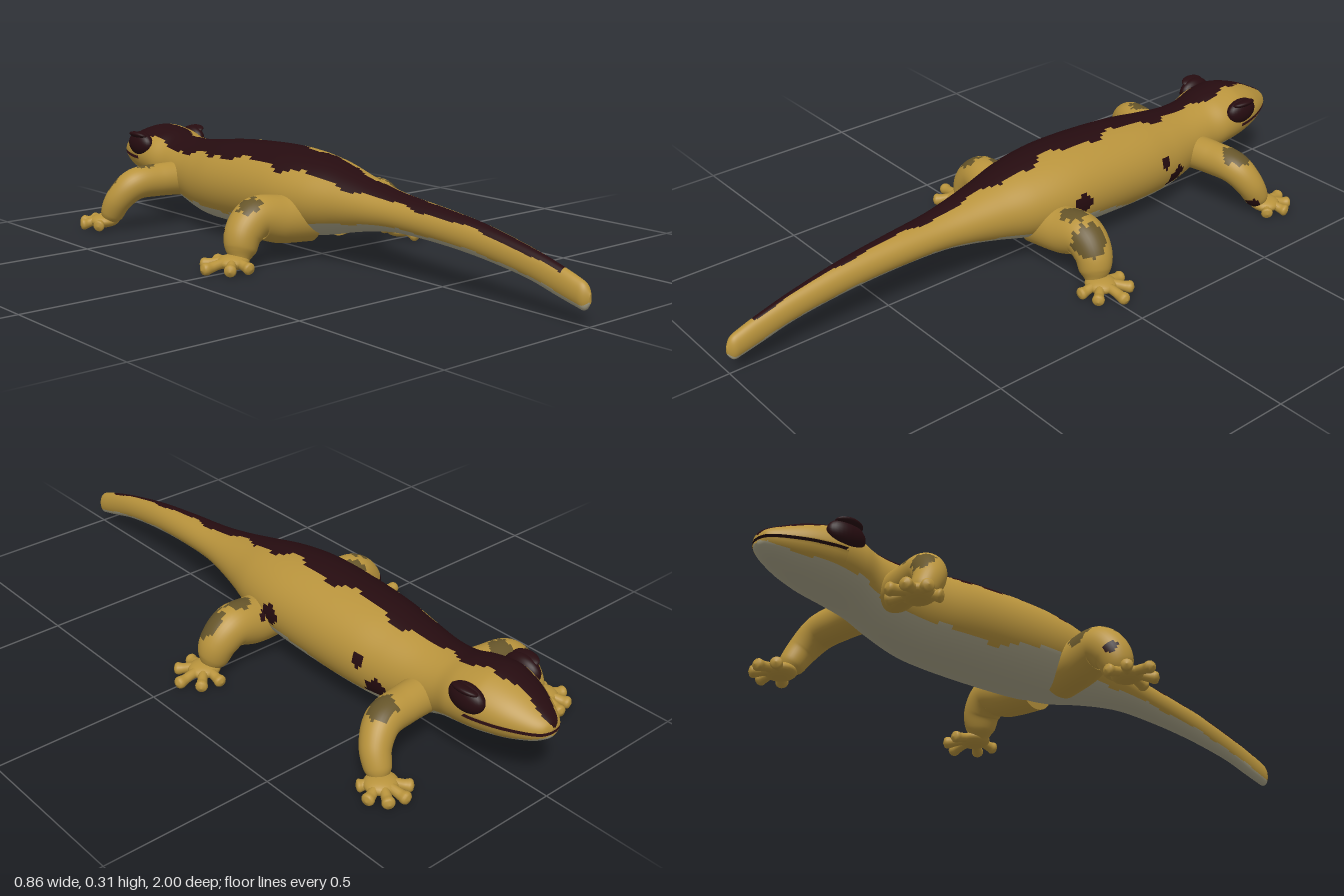
import * as THREE from 'three';

const mat = (name, color) => {
  const m = new THREE.MeshStandardMaterial({ color });
  m.name = name;
  return m;
};

// Body sections from snout to tail tip: z, half width, top y, bottom y
const SECTIONS = [
  [-1, 0.01, 0.212, 0.188], [-0.99, 0.035, 0.228, 0.176], [-0.96, 0.06, 0.246, 0.158],
  [-0.9, 0.092, 0.275, 0.138], [-0.84, 0.112, 0.294, 0.125], [-0.8, 0.118, 0.298, 0.118],
  [-0.74, 0.116, 0.29, 0.108], [-0.68, 0.104, 0.277, 0.09], [-0.6, 0.113, 0.273, 0.062],
  [-0.5, 0.132, 0.283, 0.04], [-0.4, 0.147, 0.296, 0.037], [-0.28, 0.154, 0.305, 0.04],
  [-0.15, 0.156, 0.309, 0.046], [-0.05, 0.152, 0.304, 0.054], [0.05, 0.135, 0.29, 0.068],
  [0.15, 0.105, 0.268, 0.092], [0.25, 0.08, 0.247, 0.112], [0.35, 0.062, 0.231, 0.123],
  [0.5, 0.048, 0.217, 0.12], [0.65, 0.037, 0.198, 0.108], [0.8, 0.028, 0.167, 0.086],
  [0.9, 0.024, 0.14, 0.06], [0.96, 0.022, 0.12, 0.045], [0.985, 0.018, 0.108, 0.041],
  [1, 0.004, 0.085, 0.06],
];
const MOUTH_CORNER = 5; // section where the jaws split

// Material slots
const GOLD = 0, DARK = 1, BELLY = 2, OLIVE = 3;

// Skin blotches: x, y, z, radius, material slot
const SPOTS = [
  [0.13, 0.12, -0.5, 0.036, DARK], [0.135, 0.19, -0.44, 0.02, DARK], [0.15, 0.18, -0.09, 0.03, DARK],
  [0.31, 0.035, -0.65, 0.026, DARK], [-0.31, 0.1, -0.05, 0.02, DARK],
  [0.29, 0.155, 0.01, 0.05, OLIVE], [0.2, 0.2, -0.01, 0.036, OLIVE], [0.24, 0.19, -0.64, 0.04, OLIVE],
  [-0.27, 0.185, 0, 0.035, OLIVE], [-0.2, 0.17, -0.06, 0.04, OLIVE],
  [-0.19, 0.19, -0.65, 0.036, OLIVE], [-0.28, 0.15, -0.7, 0.04, OLIVE],
];

function spotAt(p) {
  const wobble = 1 + 0.2 * Math.sin(p.x * 150 + p.y * 110) * Math.cos(p.z * 130);
  for (const [x, y, z, r, slot] of SPOTS) {
    if (Math.hypot(p.x - x, p.y - y, p.z - z) < r * wobble) return slot;
  }
  return GOLD;
}

// Skins a list of rings, caps both ends and sorts faces into material groups
function skin(rings, pick) {
  const n = rings[0].length, pos = [], faces = [[], [], [], []];
  rings.forEach((ring) => ring.forEach((p) => pos.push(p.x, p.y, p.z)));
  const centre = new THREE.Vector3();
  for (let i = 0; i < rings.length - 1; i++) {
    for (let j = 0; j < n; j++) {
      const k = (j + 1) % n;
      const a = i * n + j, b = i * n + k, c = a + n, d = b + n;
      centre.copy(rings[i][j]).add(rings[i + 1][k]).multiplyScalar(0.5);
      faces[pick(centre, i, j)].push(a, b, c, b, d, c);
    }
  }
  for (const end of [0, rings.length - 1]) {
    const ring = rings[end], base = pos.length / 3;
    const mid = ring.reduce((s, p) => s.add(p), new THREE.Vector3()).divideScalar(n);
    [mid, ...ring].forEach((p) => pos.push(p.x, p.y, p.z));
    for (let j = 0; j < n; j++) {
      const a = base + 1 + j, b = base + 1 + ((j + 1) % n);
      faces[GOLD].push(base, ...(end ? [a, b] : [b, a]));
    }
  }
  const geo = new THREE.BufferGeometry();
  geo.setAttribute('position', new THREE.Float32BufferAttribute(pos, 3));
  geo.setIndex(faces.flat());
  let start = 0;
  faces.forEach((f, slot) => {
    if (f.length) geo.addGroup(start, f.length, slot);
    start += f.length;
  });
  geo.computeVertexNormals();
  return geo;
}

// Part of the body between two sections, with heights limited to lo..hi
function bodyPart(from, to, lo, hi) {
  const last = SECTIONS.length - 1, SIDES = 72, STEPS = 9;
  const plan = new THREE.SplineCurve(SECTIONS.map((s) => new THREE.Vector2(s[0], s[1])));
  const side = new THREE.SplineCurve(SECTIONS.map((s) => new THREE.Vector2(s[2], s[3])));
  const rings = [], widths = [];
  for (let i = 0; i <= (to - from) * STEPS; i++) {
    const t = (from + i / STEPS) / last;
    const { x: z, y: w } = plan.getPoint(t), { x: top, y: bottom } = side.getPoint(t);
    widths.push(w);
    rings.push(Array.from({ length: SIDES }, (_, j) => {
      const a = (j / SIDES) * Math.PI * 2;
      const y = (top + bottom) / 2 + ((top - bottom) / 2) * Math.sin(a);
      return new THREE.Vector3(w * Math.cos(a), THREE.MathUtils.clamp(y, lo, hi), z);
    }));
  }
  return skin(rings, (p, i, j) => {
    if (Math.abs(p.y - lo) < 1e-4 || Math.abs(p.y - hi) < 1e-4) return DARK; // inside of the mouth
    const s = Math.sin(((j + 0.5) / SIDES) * Math.PI * 2), u = p.x / widths[i];
    const wave = 0.09 * Math.sin(p.z * 23) + 0.06 * Math.sin(p.z * 51 + 1);
    if (s > 0.2 && p.z < 0.92 && u > -0.72 + wave * 0.6 && u < 0.22 + wave) return DARK;
    const bellyEdge = -0.58 + 0.25 * Math.exp(-(((p.z + 0.12) / 0.1) ** 2)) + wave * 0.4;
    return s < bellyEdge ? BELLY : spotAt(p);
  });
}

// Round limb along a path of [x, y, z, radius] stations
function limb(stations, steps, sides) {
  const path = new THREE.CatmullRomCurve3(stations.map(([x, y, z]) => new THREE.Vector3(x, y, z)));
  const radius = new THREE.SplineCurve(stations.map((s, i) => new THREE.Vector2(i, s[3])));
  const frames = path.computeFrenetFrames(steps);
  const rings = [];
  for (let i = 0; i <= steps; i++) {
    const u = i / steps, t = path.getUtoTmapping(u);
    const c = path.getPoint(t), r = Math.max(radius.getPoint(t).y, 0.001);
    rings.push(Array.from({ length: sides }, (_, j) => {
      const a = (j / sides) * Math.PI * 2;
      return c.clone().addScaledVector(frames.normals[i], r * Math.cos(a))
        .addScaledVector(frames.binormals[i], r * Math.sin(a));
    }));
  }
  return skin(rings, spotAt);
}

const LEGS = {
  front: {
    path: [[0.05, 0.15, -0.62, 0.055], [0.15, 0.152, -0.63, 0.052], [0.235, 0.145, -0.642, 0.05],
      [0.28, 0.1, -0.665, 0.043], [0.293, 0.05, -0.69, 0.036], [0.298, 0.025, -0.7, 0.022]],
    palm: [0.305, -0.715],
    toes: [[0.38, -0.74], [0.345, -0.79], [0.29, -0.805], [0.24, -0.77], [0.355, -0.675]],
  },
  hind: {
    path: [[0.05, 0.118, 0, 0.07], [0.15, 0.125, -0.012, 0.07], [0.235, 0.137, -0.018, 0.062],
      [0.28, 0.1, -0.015, 0.055], [0.295, 0.055, -0.008, 0.045], [0.305, 0.025, 0, 0.025]],
    palm: [0.325, -0.005],
    toes: [[0.43, -0.012], [0.39, -0.075], [0.325, -0.09], [0.385, 0.06], [0.32, 0.075]],
  },
};

export function createModel() {
  const gold = mat('goldSkin', 0xb8933c), dark = mat('darkStripe', 0x260c10);
  const skins = [gold, dark, mat('paleBelly', 0xaca68a), mat('oliveBlotch', 0x66552a)];
  const model = new THREE.Group();
  model.name = 'lizard';
  const add = (parent, name, geo, material) => {
    const mesh = new THREE.Mesh(geo, material);
    mesh.name = name;
    parent.add(mesh);
    return mesh;
  };

  // Body with tail, and the slightly parted jaws
  add(model, 'bodyAndTail', bodyPart(MOUTH_CORNER, SECTIONS.length - 1, -1, 1), skins);
  add(model, 'upperJaw', bodyPart(0, MOUTH_CORNER, 0.204, 1), skins);
  add(model, 'lowerJaw', bodyPart(0, MOUTH_CORNER, -1, 0.195), skins);

  for (const [sign, label] of [[1, 'left'], [-1, 'right']]) {
    // Bulging eye under a raised lid
    const eye = add(model, label + 'Eye', new THREE.SphereGeometry(1, 28, 18), dark);
    eye.position.set(sign * 0.103, 0.244, -0.802);
    eye.scale.set(0.029, 0.04, 0.058);
    const lid = add(model, label + 'Eyelid', new THREE.SphereGeometry(1, 24, 14), dark);
    lid.position.set(sign * 0.112, 0.272, -0.802);
    lid.rotation.z = sign * 0.35;
    lid.scale.set(0.025, 0.011, 0.042);

    // Legs with splayed, padded toes
    for (const [kind, { path, palm, toes }] of Object.entries(LEGS)) {
      const leg = new THREE.Group();
      leg.name = `${label}${kind === 'front' ? 'Front' : 'Hind'}Leg`;
      model.add(leg);
      add(leg, 'limb', limb(path.map(([x, y, z, r]) => [sign * x, y, z, r]), 60, 36), skins);
      const foot = add(leg, 'palm', new THREE.SphereGeometry(1, 24, 14), gold);
      foot.position.set(sign * palm[0], 0.027, palm[1]);
      foot.scale.set(0.048, 0.022, 0.045);
      toes.forEach(([x, z], i) => {
        const along = [[0, 0.028, 0.016], [0.45, 0.026, 0.014], [0.7, 0.021, 0.015],
          [0.87, 0.019, 0.018], [0.97, 0.018, 0.012], [1, 0.018, 0.001]];
        const stations = along.map(([t, y, r]) => [
          sign * THREE.MathUtils.lerp(palm[0], x, t), y, THREE.MathUtils.lerp(palm[1], z, t), r]);
        add(leg, 'toe' + (i + 1), limb(stations, 24, 14), skins);
      });
    }
  }
  return model;
}
